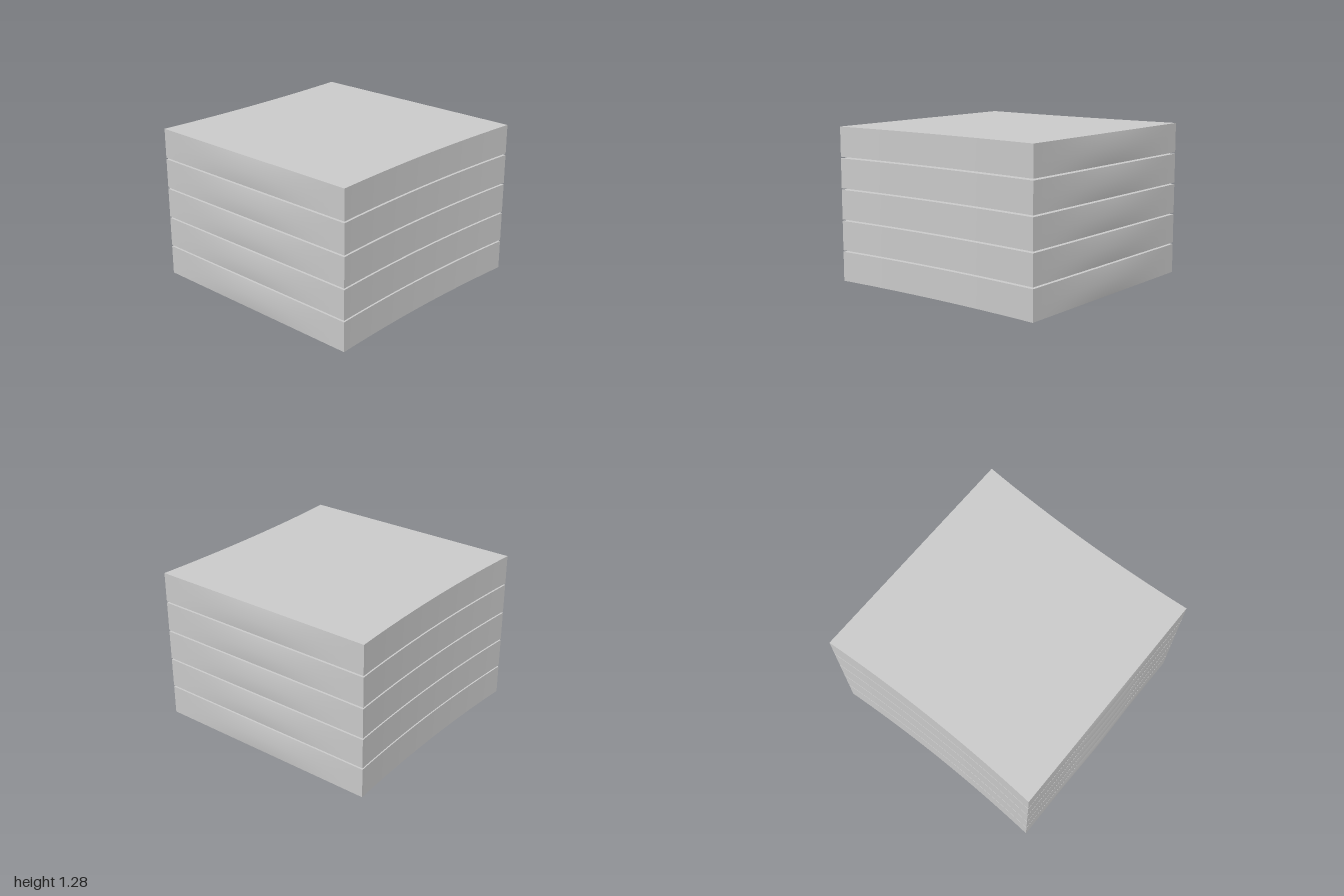
import * as THREE from 'three';

const HALF = 0.98;    // half width of a slab at its corners
const HEIGHT = 0.245; // slab thickness
const PITCH = 0.258;  // spacing from slab to slab
const WAIST = 0.035;  // how far the left and right sides curve in
const BULGE = 0.018;  // how far the front and back swell out

// A slab with concave sides and a soft swelling at mid height on front and back
function slabGeometry() {
  const geometry = new THREE.BoxGeometry(2 * HALF, HEIGHT, 2 * HALF, 32, 2, 32);
  const pos = geometry.attributes.position;
  for (let i = 0; i < pos.count; i++) {
    const x = pos.getX(i), y = pos.getY(i), z = pos.getZ(i);
    const u = x / HALF, w = z / HALF;
    pos.setX(i, x * (1 - (WAIST / HALF) * (1 - w * w)));
    if (Math.abs(w) > 0.999) {
      const middle = 1 - Math.abs(y) / (HEIGHT / 2);
      const swell = BULGE * middle * Math.cos(u * Math.PI / 2) ** 2;
      pos.setZ(i, z + Math.sign(z) * swell);
    }
  }
  geometry.computeVertexNormals();
  return geometry;
}

export function createModel() {
  const model = new THREE.Group();
  model.name = 'slabStack';
  const material = new THREE.MeshStandardMaterial({ color: 0xcccccc });
  const geometry = slabGeometry();

  // Five equal slabs with narrow gaps between them
  for (let i = 0; i < 5; i++) {
    const slab = new THREE.Mesh(geometry, material);
    slab.name = `slab${i + 1}`;
    slab.position.y = HEIGHT / 2 + i * PITCH;
    model.add(slab);
  }
  return model;
}
